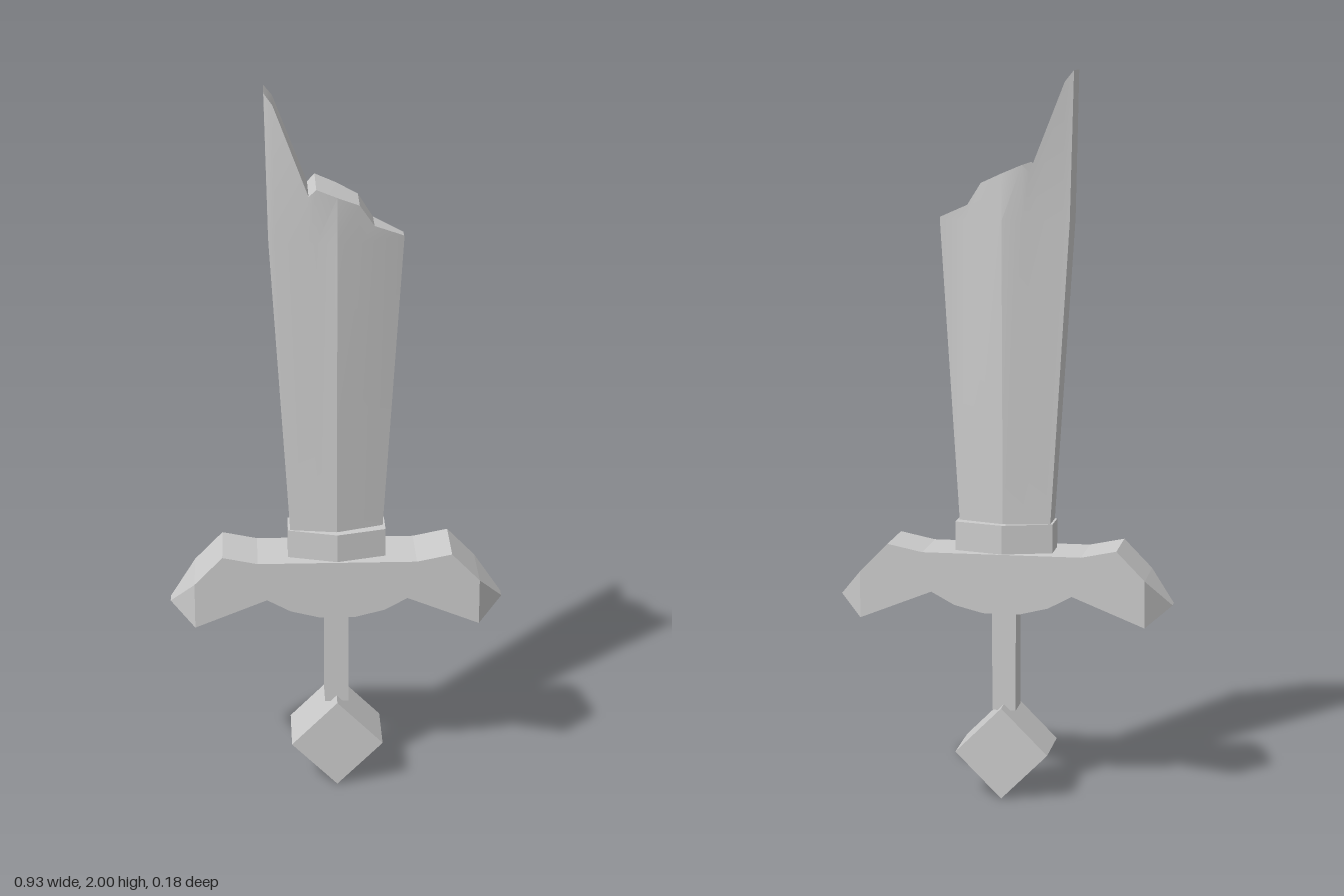
import * as THREE from 'three';
import { toCreasedNormals } from 'three/addons/utils/BufferGeometryUtils.js';
import { ConvexGeometry } from 'three/addons/geometries/ConvexGeometry.js';

const material = new THREE.MeshStandardMaterial({ color: 0xcccccc, flatShading: true });
const smoothMaterial = new THREE.MeshStandardMaterial({ color: 0xcccccc });

function addMesh(group, name, geometry, mat = material) {
  const mesh = new THREE.Mesh(geometry, mat);
  mesh.name = name;
  group.add(mesh);
  return mesh;
}

// Straight interpolation between spine, ridge and cutting edge
function halfThickness(x, halfWidth, spine, ridge, edge) {
  const t = Math.abs(x) / halfWidth;
  return ridge + ((x < 0 ? spine : edge) - ridge) * t;
}

// Blade with a thick spine (-x), a central ridge, a thin edge (+x) and a broken top
function bladeGeometry() {
  // Broken top, one entry per column: x, y, half thickness
  const broken = [
    [-0.19, 2.0, 0.05], [-0.167, 1.97, 0.06], [-0.075, 1.73, 0.078], [-0.055, 1.75, 0.083],
    [0, 1.727, 0.08], [0.06, 1.70, 0.06], [0.1, 1.64, 0.045], [0.18, 1.605, 0.017],
  ];
  const columns = [-1, -0.9, -0.42, -0.3, 0, 0.33, 0.56, 1];
  const section = (y, w, spine, ridge, edge) =>
    columns.map((u) => [u * w, y, halfThickness(u * w, w, spine, ridge, edge)]);
  const levels = [
    section(0.76, 0.128, 0.042, 0.062, 0.015),
    section(1.6, 0.181, 0.055, 0.082, 0.016),
    broken,
  ];

  const n = columns.length, ring = 2 * n;
  const positions = [], index = [];
  for (const level of levels) {
    for (const [x, y, z] of level) positions.push(x, y, z);
    for (const [x, y, z] of [...level].reverse()) positions.push(x, y, -z);
  }
  const quad = (a, b, c, d) => index.push(a, b, c, a, c, d);
  for (let l = 0; l < levels.length - 1; l++) {
    for (let j = 0; j < ring; j++) {
      const k = (j + 1) % ring;
      quad(l * ring + j, l * ring + k, (l + 1) * ring + k, (l + 1) * ring + j);
    }
  }
  // Close the broken top and the base
  const top = (levels.length - 1) * ring;
  for (let j = 0; j < n - 1; j++) {
    const f = j, g = j + 1, bg = ring - 2 - j, bf = ring - 1 - j;
    quad(top + f, top + g, top + bg, top + bf);
    quad(bf, bg, g, f);
  }
  const geometry = new THREE.BufferGeometry();
  geometry.setAttribute('position', new THREE.Float32BufferAttribute(positions, 3));
  geometry.setIndex(index);
  return toCreasedNormals(geometry, 0.4);
}

// Six-sided collar
function collarGeometry() {
  const points = [];
  for (const y of [0.68, 0.77])
    for (const s of [-1, 1]) {
      points.push(new THREE.Vector3(0, y, s * 0.085));
      for (const x of [-0.135, 0.135]) points.push(new THREE.Vector3(x, y, s * 0.045));
    }
  return new ConvexGeometry(points);
}

// Crossguard body, mirrored from its +x half
function guardGeometry() {
  const half = [
    [0.05, 0.525], [0.13, 0.545], [0.195, 0.58], [0.395, 0.5],
    [0.395, 0.63], [0.317, 0.71], [0.22, 0.69],
  ];
  const mirrored = [...half].reverse().map(([x, y]) => [-x, y]);
  const shape = new THREE.Shape([...half, ...mirrored].map(([x, y]) => new THREE.Vector2(x, y)));
  const geometry = new THREE.ExtrudeGeometry(shape, { depth: 0.18, bevelEnabled: false });
  geometry.translate(0, 0, -0.09);
  return geometry;
}

// Wedge at one end of the guard
function guardTipGeometry(side) {
  const points = [];
  for (const s of [-1, 1]) {
    points.push(new THREE.Vector3(side * 0.395, 0.5, s * 0.09));
    points.push(new THREE.Vector3(side * 0.395, 0.63, s * 0.09));
    points.push(new THREE.Vector3(side * 0.464, 0.55, s * 0.016));
  }
  return new ConvexGeometry(points);
}

export function createModel() {
  const sword = new THREE.Group();
  sword.name = 'brokenSword';

  addMesh(sword, 'blade', bladeGeometry(), smoothMaterial);
  addMesh(sword, 'collar', collarGeometry());

  const guard = new THREE.Group();
  guard.name = 'crossguard';
  addMesh(guard, 'guardBody', guardGeometry());
  addMesh(guard, 'guardTipLeft', guardTipGeometry(1));
  addMesh(guard, 'guardTipRight', guardTipGeometry(-1));
  sword.add(guard);

  const grip = addMesh(sword, 'grip', new THREE.BoxGeometry(0.066, 0.3, 0.084));
  grip.position.y = 0.39;

  // Square pommel standing on its corner
  const pommel = addMesh(sword, 'pommel', new THREE.BoxGeometry(0.182, 0.182, 0.18));
  pommel.rotation.z = Math.PI / 4;
  pommel.scale.setScalar(1);
  pommel.position.y = 0.182 * Math.SQRT1_2;

  return sword;
}
